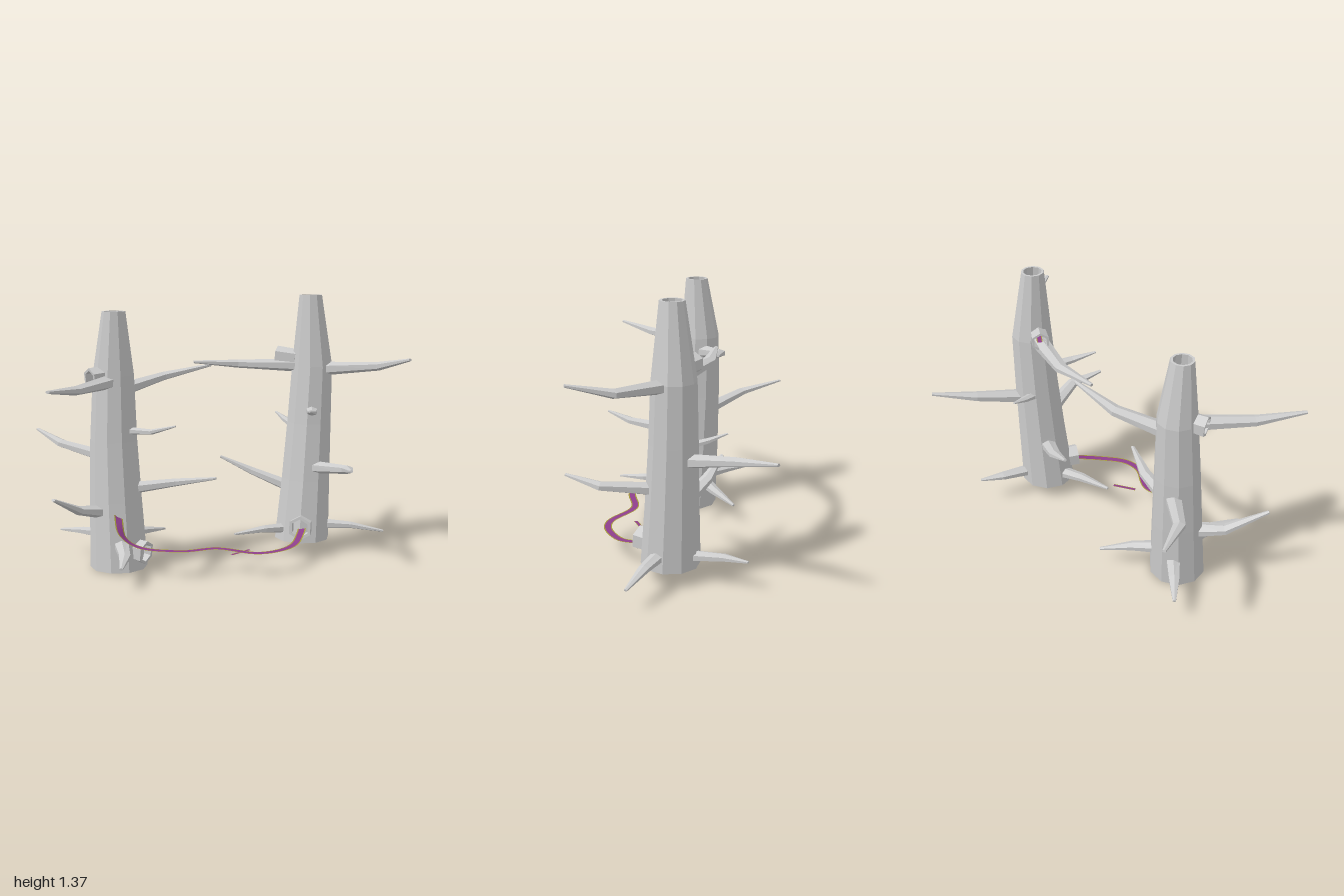
import * as THREE from 'three';

const V = (p) => new THREE.Vector3(...p);
const UP = V([0, 1, 0]);
const grey = new THREE.MeshStandardMaterial({ color: 0xcccccc, flatShading: true });
const paint = (color) => new THREE.MeshStandardMaterial({ color, side: THREE.DoubleSide });
const purple = paint(0x8f3f8c), yellow = paint(0xa39a3c);

// Skin a row of elliptical rings {c, d, w, h}: centre, axis, half width, half height
function loft(rings, sides, { cap = false, loop = false } = {}) {
  const pts = rings.map(({ c, d, w, h }) => {
    const u = Math.abs(d.y) > 0.95 ? V([1, 0, 0]) : UP.clone().cross(d).normalize();
    const v = d.clone().cross(u).normalize();
    return Array.from({ length: sides }, (_, i) => {
      const a = ((i + 0.5) / sides) * Math.PI * 2;
      return c.clone().addScaledVector(u, Math.cos(a) * w).addScaledVector(v, Math.sin(a) * h);
    });
  });
  const out = [];
  const tri = (...t) => t.forEach((p) => out.push(p.x, p.y, p.z));
  const spans = loop ? rings.length : rings.length - 1;
  for (let k = 0; k < spans; k++) {
    const a = pts[k], b = pts[(k + 1) % pts.length];
    for (let i = 0; i < sides; i++) {
      const j = (i + 1) % sides;
      tri(a[i], a[j], b[j]);
      tri(a[i], b[j], b[i]);
    }
  }
  if (cap) {
    const e = pts[pts.length - 1];
    for (let i = 1; i < sides - 1; i++) tri(e[0], e[i], e[i + 1]);
  }
  const g = new THREE.BufferGeometry();
  g.setAttribute('position', new THREE.Float32BufferAttribute(out, 3));
  g.computeVertexNormals();
  return g;
}

function add(group, name, geometry, material = grey) {
  const mesh = new THREE.Mesh(geometry, material);
  mesh.name = name;
  group.add(mesh);
}

// Hollow trunk: outer wall up, rim, inner wall down; levels are [x, y, z, radius]
function trunk(levels) {
  const ring = (k) => ([x, y, z, r]) => ({ c: V([x, y, z]), d: UP, w: r * k, h: r * k });
  return loft([...levels.map(ring(1)), ...levels.map(ring(0.8)).reverse()], 10, { loop: true });
}

// Short hollow six-sided stub
function stub(from, to, r) {
  const a = V(from), b = V(to), d = b.clone().sub(a).normalize();
  const ring = (c, k) => ({ c, d, w: r * k, h: r * k });
  return loft([ring(a, 0.9), ring(b, 1), ring(b, 0.75), ring(a, 0.7)], 6, { loop: true });
}

// Bent, tapering branch
function branch(root, mid, tip, w) {
  const [a, b, c] = [root, mid, tip].map(V);
  const d1 = b.clone().sub(a).normalize(), d2 = c.clone().sub(b).normalize();
  const dm = d1.clone().add(d2).normalize();
  return loft([
    { c: a, d: d1, w: w, h: w * 0.72 },
    { c: b, d: dm, w: w * 0.75, h: w * 0.45 },
    { c: c, d: d2, w: w * 0.22, h: w * 0.15 },
  ], 6, { cap: true });
}

// Flat strip along a path, between sideways offsets s0 and s1
function strip(path, s0, s1, n = 60) {
  const curve = new THREE.CatmullRomCurve3(path.map(V));
  const pos = [], index = [];
  for (let i = 0; i <= n; i++) {
    const p = curve.getPoint(i / n), t = curve.getTangent(i / n);
    const side = V([t.z, 0, -t.x]).normalize();
    for (const s of [s0, s1]) pos.push(...p.clone().addScaledVector(side, s).toArray());
    if (i < n) index.push(2 * i, 2 * i + 2, 2 * i + 1, 2 * i + 1, 2 * i + 2, 2 * i + 3);
  }
  const g = new THREE.BufferGeometry();
  g.setAttribute('position', new THREE.Float32BufferAttribute(pos, 3));
  g.setIndex(index);
  g.computeVertexNormals();
  return g;
}

function ribbon(group, name, path, w) {
  add(group, name + 'Centre', strip(path, -w * 0.7, w * 0.7), purple);
  add(group, name + 'LeftEdge', strip(path, w * 0.7, w), yellow);
  add(group, name + 'RightEdge', strip(path, -w, -w * 0.7), yellow);
}

export function createModel() {
  const model = new THREE.Group();
  model.name = 'spikyTrunks';

  // Front trunk
  const front = new THREE.Group();
  front.name = 'frontTrunk';
  add(front, 'trunk', trunk([
    [-0.2, 0, 0.435, 0.147], [-0.225, 0.35, 0.43, 0.132], [-0.242, 0.65, 0.425, 0.119],
    [-0.25, 0.98, 0.415, 0.104], [-0.232, 1.3, 0.422, 0.059],
  ]));
  [
    [[-0.3, 0.55, 0.42], [-0.56, 0.6, 0.52], [-0.8, 0.645, 0.51], 0.045],
    [[-0.25, 0.9, 0.36], [-0.23, 0.95, 0.1], [-0.12, 1, -0.14], 0.05],
    [[-0.22, 0.95, 0.47], [-0.1, 0.945, 0.76], [0.01, 0.97, 0.99], 0.05],
    [[-0.22, 0.29, 0.5], [-0.21, 0.33, 0.68], [-0.13, 0.43, 0.88], 0.05],
    [[-0.18, 0.4, 0.38], [-0.02, 0.43, 0.2], [0.15, 0.46, 0.08], 0.045],
    [[-0.2, 0.7, 0.4], [-0.02, 0.71, 0.36], [0.09, 0.745, 0.3], 0.03],
    [[-0.14, 0.14, 0.47], [0.03, 0.125, 0.58], [0.14, 0.11, 0.69], 0.042],
    [[-0.24, 0.15, 0.36], [-0.26, 0.13, 0.2], [-0.3, 0.1, 0.04], 0.042],
    [[-0.28, 0.15, 0.43], [-0.44, 0.145, 0.48], [-0.585, 0.13, 0.52], 0.042],
  ].forEach((b, i) => add(front, 'branch' + (i + 1), branch(...b)));
  add(front, 'upperStub', stub([-0.245, 0.98, 0.45], [-0.255, 0.97, 0.56], 0.055));
  add(front, 'lowerStub', stub([-0.13, 0.1, 0.41], [-0.04, 0.09, 0.385], 0.062));
  model.add(front);

  // Back trunk
  const back = new THREE.Group();
  back.name = 'backTrunk';
  add(back, 'trunk', trunk([
    [0.255, 0.075, -0.46, 0.146], [0.255, 0.4, -0.485, 0.13], [0.255, 0.7, -0.505, 0.118],
    [0.257, 1.0, -0.52, 0.108], [0.257, 1.37, -0.5, 0.06],
  ]));
  [
    [[0.32, 0.985, -0.54], [0.59, 1.01, -0.66], [0.8, 1.06, -0.635], 0.05],
    [[0.31, 0.465, -0.47], [0.59, 0.5, -0.42], [0.72, 0.53, -0.29], 0.048],
    [[0.3, 0.77, -0.47], [0.41, 0.78, -0.35], [0.485, 0.805, -0.24], 0.035],
    [[0.22, 0.62, -0.55], [0.06, 0.67, -0.78], [-0.05, 0.71, -0.99], 0.05],
    [[0.2, 1.0, -0.46], [-0.03, 1.005, -0.25], [-0.153, 1.02, -0.045], 0.048],
    [[0.2, 0.34, -0.44], [0.01, 0.42, -0.32], [-0.12, 0.495, -0.21], 0.045],
    [[0.23, 0.13, -0.4], [0.19, 0.145, -0.23], [0.145, 0.14, -0.06], 0.042],
    [[0.33, 0.15, -0.52], [0.45, 0.145, -0.63], [0.58, 0.115, -0.75], 0.04],
    [[0.2, 0.13, -0.53], [0.06, 0.15, -0.66], [-0.02, 0.155, -0.76], 0.04],
    [[0.2, 0.66, -0.48], [0.08, 0.69, -0.51], [-0.01, 0.72, -0.53], 0.03],
  ].forEach((b, i) => add(back, 'branch' + (i + 1), branch(...b)));
  add(back, 'upperStub', stub([0.2, 1.04, -0.46], [0.105, 1.05, -0.41], 0.05));
  add(back, 'lowerStub', stub([0.3, 0.16, -0.42], [0.365, 0.165, -0.32], 0.064));
  model.add(back);

  // Striped cable between the trunks, its run inside the back trunk, and a loose scrap
  const cable = new THREE.Group();
  cable.name = 'cable';
  ribbon(cable, 'cable', [
    [-0.12, 0.295, 0.5], [-0.07, 0.2, 0.515], [0, 0.148, 0.475], [0.18, 0.137, 0.34],
    [0.235, 0.125, 0.15], [0.4, 0.115, 0.045], [0.445, 0.115, -0.05], [0.43, 0.115, -0.2],
    [0.37, 0.14, -0.32], [0.31, 0.17, -0.41],
  ], 0.021);
  ribbon(cable, 'innerCable', [
    [0.31, 0.17, -0.41], [0.29, 0.5, -0.48], [0.28, 0.9, -0.5], [0.2, 1.04, -0.46], [0.12, 1.04, -0.42],
  ], 0.015);
  ribbon(cable, 'scrap', [[0.255, 0.08, -0.06], [0.255, 0.08, 0], [0.255, 0.08, 0.07]], 0.01);
  model.add(cable);

  return model;
}
